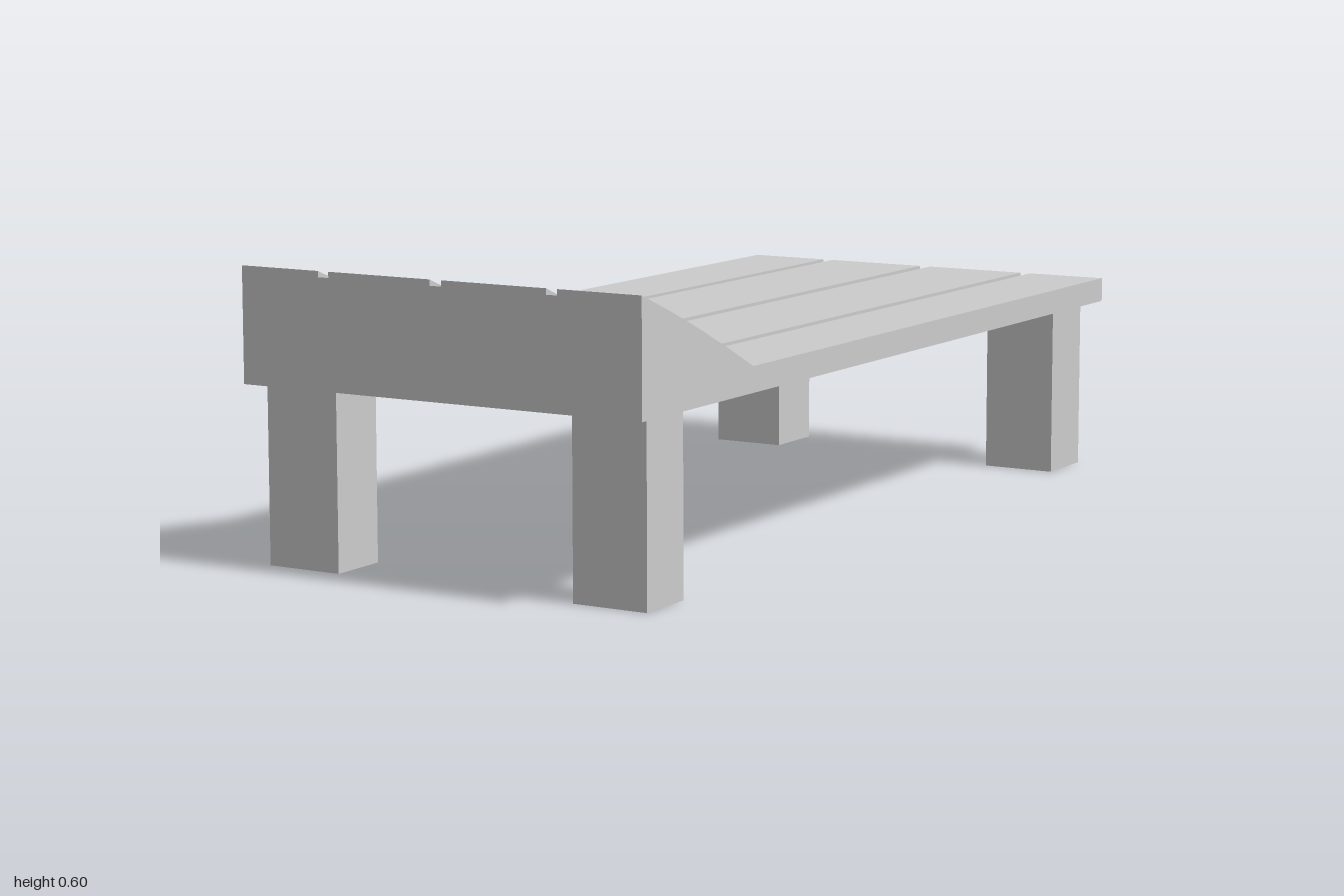
import * as THREE from 'three';

const HALF = 0.453, BOTTOM = 0.365, DEPTH = 0.012;
const material = new THREE.MeshStandardMaterial({ color: 0xcccccc });

// Top edge of the side profile as [z, y]: flat bed, then a slightly bowed headrest
const TOP = [[-1, 0.417], [0.595, 0.417], [0.7, 0.468], [0.8, 0.514], [0.9, 0.557], [1, 0.597]];

// Extrudes the side profile across x from x0 to x1, between a floor and a lowered top edge
function slab(name, x0, x1, drop) {
  const shape = new THREE.Shape();
  shape.moveTo(1, BOTTOM);
  shape.lineTo(-1, BOTTOM);
  TOP.forEach(([z, y]) => shape.lineTo(z, y - drop));
  shape.closePath();
  const geometry = new THREE.ExtrudeGeometry(shape, { depth: x1 - x0, bevelEnabled: false });
  // Profile x becomes z, extrusion runs along -x
  geometry.rotateY(-Math.PI / 2).translate(x1, 0, 0);
  const mesh = new THREE.Mesh(geometry, material);
  mesh.name = name;
  return mesh;
}

function leg(name, x0, x1, z0, z1) {
  const geometry = new THREE.BoxGeometry(x1 - x0, BOTTOM, z1 - z0);
  const mesh = new THREE.Mesh(geometry, material);
  mesh.name = name;
  mesh.position.set((x0 + x1) / 2, BOTTOM / 2, (z0 + z1) / 2);
  return mesh;
}

export function createModel() {
  const model = new THREE.Group();
  model.name = 'lounger';

  // Four planks with three shallow grooves between them
  const edges = [-HALF, -0.271, -0.247, -0.013, 0.013, 0.247, 0.271, HALF];
  for (let i = 0; i < edges.length - 1; i++) {
    const groove = i % 2 === 1;
    model.add(slab(groove ? 'groove' : 'plank', edges[i], edges[i + 1], groove ? DEPTH : 0));
  }

  // Square legs, set in from the corners
  for (const [end, z0, z1] of [['front', 0.82, 0.95], ['back', -0.93, -0.785]]) {
    model.add(leg(end + 'LeftLeg', 0.27, 0.432, z0, z1));
    model.add(leg(end + 'RightLeg', -0.435, -0.27, z0, z1));
  }
  return model;
}
